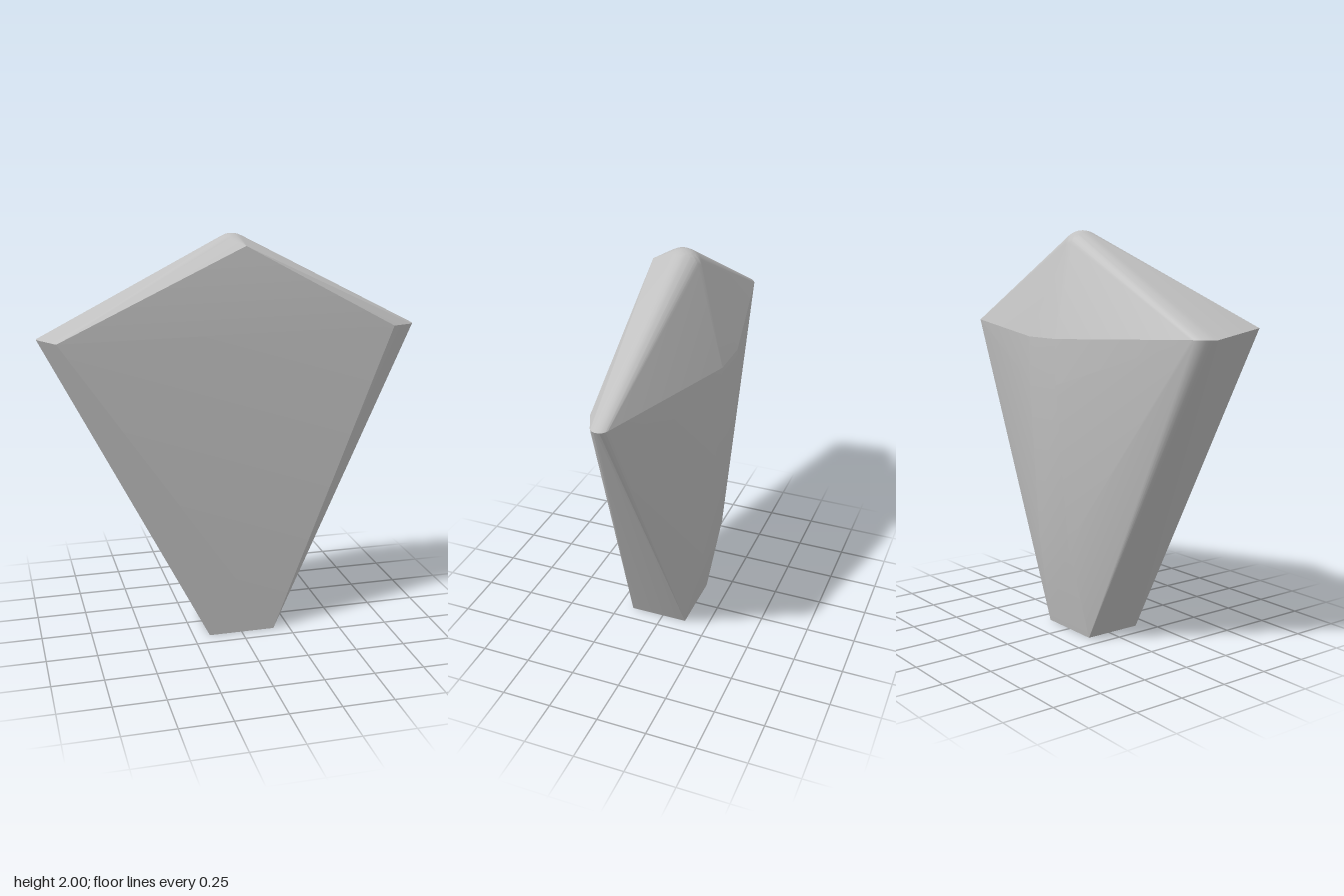
import * as THREE from 'three';
import { ConvexGeometry } from 'three/addons/geometries/ConvexGeometry.js';
import { toCreasedNormals } from 'three/addons/utils/BufferGeometryUtils.js';

export function createModel() {
  const group = new THREE.Group();
  group.name = 'stone';
  const stoneGrey = new THREE.MeshStandardMaterial({ color: 0xc0c0c0 });
  stoneGrey.name = 'stone grey';

  const points = [];
  const add = (x, y, z) => points.push(new THREE.Vector3(x, y, z));

  // Horizontal arc that rounds a side tip; angles run from +x towards -z
  const tipArc = (x, y, z, r, from, to) => {
    for (let i = 0; i <= 8; i++) {
      const a = from + (to - from) * i / 8;
      add(x + r * Math.cos(a), y, z - r * Math.sin(a));
    }
  };

  for (const s of [-1, 1]) {
    // Flat foot
    add(s * 0.168, 0, 0.172);
    add(s * 0.168, 0, -0.127);
    // Narrow facets down the middle of the back
    add(s * 0.125, 0.48, -0.222);
    add(s * 0.11, 1.27, -0.283);
    add(s * 0.108, 1.49, -0.283);
  }

  // Front corners
  add(-0.885, 1.56, 0.283);
  add(0.82, 1.53, 0.055);
  add(0.04, 1.95, 0.088);

  // Rounded side tips
  tipArc(0.906, 1.527, -0.03, 0.042, -1.2, 1.3);
  tipArc(-0.862, 1.525, -0.03, 0.09, Math.PI / 2, Math.PI);

  // Rounded peak
  const r = 0.1;
  for (let i = 0; i <= 8; i++) {
    const tilt = i / 8 * 1.4;
    for (let j = 0; j < (i ? 20 : 1); j++) {
      const turn = j / 20 * Math.PI * 2;
      add(r * Math.sin(tilt) * Math.cos(turn), 1.9 + r * Math.cos(tilt), -0.04 + r * Math.sin(tilt) * Math.sin(turn));
    }
  }

  const body = new THREE.Mesh(toCreasedNormals(new ConvexGeometry(points), 0.22), stoneGrey);
  body.name = 'stoneBody';
  group.add(body);
  return group;
}
